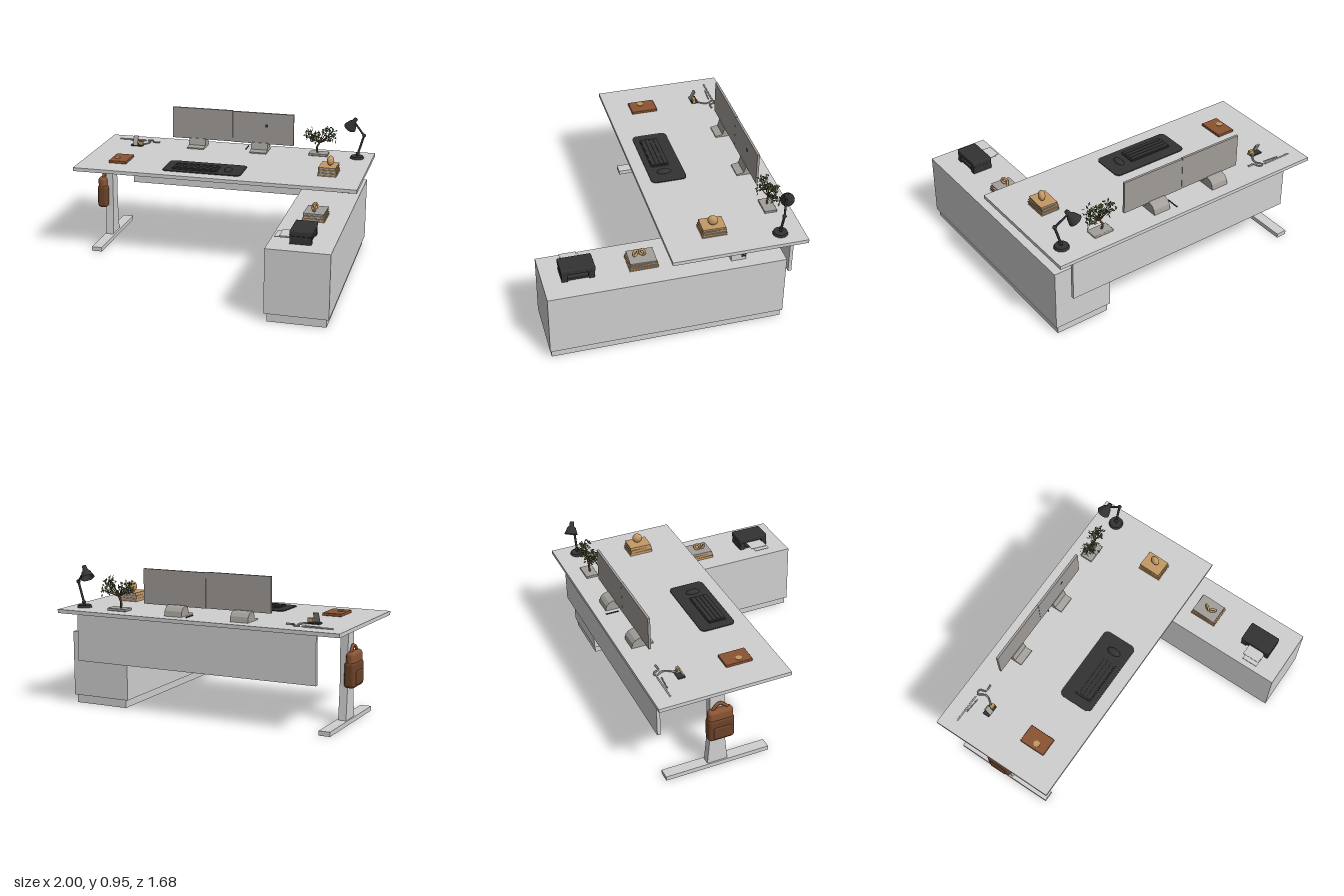
import * as THREE from 'three';
import { RoundedBoxGeometry } from 'three/addons/geometries/RoundedBoxGeometry.js';

const mat = (name, color, side = THREE.FrontSide) => {
  const m = new THREE.MeshStandardMaterial({ color, side });
  m.name = name;
  return m;
};
const V = (x, y, z) => new THREE.Vector3(x, y, z);

export function createModel() {
  const root = new THREE.Group();
  root.name = 'deskSetup';
  const white = mat('white', 0xd0d0d0);
  const screenGrey = mat('screenGrey', 0xa09c98);
  const black = mat('black', 0x333333, THREE.DoubleSide);
  const leather = mat('leather', 0x8a5433);
  const darkLeather = mat('darkLeather', 0x6b4228);
  const tan = mat('tan', 0xc59a66);
  const grey = mat('grey', 0xa3a09b);
  const leaf = mat('leaf', 0x56633f, THREE.DoubleSide);
  const bark = mat('bark', 0x5c4a38);

  const add = (name, geo, m, parent = root) => {
    const mesh = new THREE.Mesh(geo, m);
    mesh.name = name;
    parent.add(mesh);
    return mesh;
  };
  const group = (name) => {
    const g = new THREE.Group();
    g.name = name;
    root.add(g);
    return g;
  };
  // box from its lower and upper bounds
  const box = (name, m, x0, x1, y0, y1, z0, z1, parent = root, r = 0) => {
    const s = [x1 - x0, y1 - y0, z1 - z0];
    const geo = r ? new RoundedBoxGeometry(...s, 3, r) : new THREE.BoxGeometry(...s);
    const mesh = add(name, geo, m, parent);
    mesh.position.set((x0 + x1) / 2, (y0 + y1) / 2, (z0 + z1) / 2);
    return mesh;
  };
  // rod between two points
  const rod = (name, m, a, b, r0, r1, parent = root) => {
    const mesh = add(name, new THREE.CylinderGeometry(r1, r0, a.distanceTo(b), 10), m, parent);
    mesh.position.copy(a).lerp(b, 0.5);
    mesh.quaternion.setFromUnitVectors(V(0, 1, 0), b.clone().sub(a).normalize());
    return mesh;
  };
  const tube = (name, m, pts, r, parent = root) =>
    add(name, new THREE.TubeGeometry(new THREE.CatmullRomCurve3(pts.map((p) => V(...p))), 32, r, 6), m, parent);
  // profile of [z, y] points extruded along x
  const sideExtrude = (name, m, pts, x0, x1, parent = root) => {
    const shape = new THREE.Shape(pts.map(([z, y]) => new THREE.Vector2(-z, y)));
    const geo = new THREE.ExtrudeGeometry(shape, { depth: x1 - x0, bevelEnabled: false });
    geo.rotateY(Math.PI / 2);
    geo.translate(x0, 0, 0);
    return add(name, geo, m, parent);
  };

  // Desk, panel, legs and cabinet
  const top = 0.655;
  box('deskTop', white, -1, 1, 0.63, top, -0.845, 0.05);
  box('modestyPanel', white, -0.83, 0.88, 0.31, 0.62, -0.795, -0.772);
  for (const x of [-0.6, 0.6]) box('panelBracket', white, x - 0.03, x + 0.03, 0.6, 0.63, -0.772, -0.74);
  box('crossBeam', white, -0.9, 0.9, 0.612, 0.63, -0.46, -0.38);
  const leg = group('leftLeg');
  box('foot', white, -0.92, -0.845, 0, 0.03, -0.78, -0.06, leg);
  sideExtrude('post', white, [[-0.49, 0.03], [-0.35, 0.03], [-0.37, 0.24], [-0.37, 0.63], [-0.47, 0.63], [-0.47, 0.24]],
    -0.91, -0.857, leg);
  box('rightLeg', white, 0.84, 0.89, 0.49, 0.63, -0.47, -0.37);
  for (let i = 0; i < 7; i++) box('cableSlat', black, 0.89, 0.896, 0.515 + i * 0.015, 0.523 + i * 0.015, -0.465, -0.437);
  box('plinth', white, 0.57, 0.95, 0, 0.055, -0.71, 0.83);
  box('cabinet', white, 0.55, 0.965, 0.055, 0.49, -0.72, 0.84);

  // Shoulder bag hung on the leg
  const bag = group('bag');
  box('bagBody', darkLeather, -0.965, -0.89, 0.24, 0.41, -0.5, -0.32, bag, 0.025);
  box('bagFlap', leather, -0.958, -0.9, 0.3, 0.47, -0.495, -0.325, bag, 0.024);
  box('bagPocket', darkLeather, -0.972, -0.95, 0.26, 0.35, -0.47, -0.35, bag, 0.01);
  tube('bagStrap', leather, [[-0.925, 0.45, -0.47], [-0.925, 0.49, -0.44], [-0.92, 0.503, -0.41], [-0.925, 0.49, -0.38],
    [-0.925, 0.45, -0.35]], 0.011, bag);

  // Wide screen with two curved stands
  const screen = group('screen');
  box('screenLeft', screenGrey, -0.485, -0.03, 0.715, 0.947, -0.698, -0.682, screen);
  box('screenRight', screenGrey, -0.028, 0.425, 0.713, 0.943, -0.698, -0.682, screen);
  box('lens', black, 0.215, 0.235, 0.84, 0.86, -0.682, -0.68, screen);
  for (const x of [-0.295, 0.175]) {
    sideExtrude('stand', grey, [[-0.615, top], [-0.615, 0.664], [-0.665, 0.672], [-0.678, 0.72], [-0.71, 0.722],
      [-0.738, 0.712], [-0.758, 0.69], [-0.765, top]], x - 0.062, x + 0.062, screen);
  }
  rod('cable', black, V(0.07, 0.662, -0.69), V(0.07, 0.662, -0.78), 0.004, 0.004, screen);

  // Desk mat, keyboard and mouse
  const slab = (name, m, x0, x1, z0, z1, y, h, r) => {
    const s = new THREE.Shape();
    s.moveTo(x0 + r, -z0);
    for (const [cx, cz, a] of [[x1 - r, z0 + r, 90], [x1 - r, z1 - r, 0], [x0 + r, z1 - r, -90], [x0 + r, z0 + r, -180]]) {
      const t = THREE.MathUtils.degToRad(a);
      s.absarc(cx, -cz, r, t, t - Math.PI / 2, true);
    }
    const geo = new THREE.ExtrudeGeometry(s, { depth: h, bevelEnabled: false, curveSegments: 6 });
    geo.rotateX(-Math.PI / 2);
    add(name, geo, m).position.y = y;
  };
  slab('deskMat', black, -0.38, 0.18, -0.285, -0.04, top, 0.006, 0.035);
  slab('keyboard', black, -0.315, 0.005, -0.205, -0.08, 0.661, 0.008, 0.008);
  for (let r = 0; r < 4; r++) {
    box('keyRow', black, -0.305, -0.005, 0.669, 0.673, -0.197 + r * 0.029, -0.174 + r * 0.029);
  }
  const mouse = add('mouse', new THREE.SphereGeometry(1, 16, 8, 0, Math.PI * 2, 0, Math.PI / 2), black);
  mouse.scale.set(0.026, 0.02, 0.05);
  mouse.position.set(0.073, 0.661, -0.15);

  // Notebook with a small coaster
  box('notebook', leather, -0.795, -0.665, top, 0.674, -0.305, -0.12, root, 0.004);
  const coaster = add('coaster', new THREE.CylinderGeometry(0.022, 0.022, 0.005, 20), tan);
  coaster.position.set(-0.755, 0.676, -0.2);

  // Stacks of books
  const stack = (name, cx, cz, w, d, y, n, h, cover, topCover) => {
    const g = group(name);
    for (let i = 0; i < n; i++) {
      const b = new THREE.Group();
      b.name = 'book';
      const m = i === n - 1 ? topCover : cover;
      const k = 1 - i * 0.04;
      const [a, c] = [w * k / 2, d * k / 2];
      box('lowerCover', m, -a, a, 0, h * 0.22, -c, c, b);
      box('pages', grey, -a + 0.004, a - 0.004, h * 0.22, h * 0.78, -c + 0.004, c - 0.004, b);
      box('upperCover', m, -a, a, h * 0.78, h * 0.98, -c, c, b);
      box('spine', m, -a, -a + 0.004, h * 0.22, h * 0.78, -c, c, b);
      b.position.set(cx, y + i * h, cz);
      b.rotation.y = [0, 0.03, -0.03][i];
      g.add(b);
    }
    return g;
  };
  const deskBooks = stack('deskBooks', 0.755, -0.277, 0.13, 0.165, top, 3, 0.02, tan, tan);
  const disc = add('roundOrnament', new THREE.SphereGeometry(0.034, 20, 14), tan, deskBooks);
  disc.scale.x = 0.68;
  disc.rotation.y = -0.3;
  disc.position.set(0.765, 0.747, -0.277);
  const cabinetBooks = stack('cabinetBooks', 0.753, 0.187, 0.15, 0.19, 0.49, 3, 0.0175, tan, grey);
  for (const s of [-1, 1]) {
    const ring = add('ringOrnament', new THREE.TorusGeometry(0.019, 0.008, 8, 20), tan, cabinetBooks);
    ring.position.set(0.745, 0.567, 0.202 + s * 0.022);
    ring.rotation.y = Math.PI / 2 + s * 0.6;
  }

  // Printer with its paper tray
  const printer = group('printer');
  box('printerTop', black, 0.68, 0.822, 0.54, 0.577, 0.5, 0.722, printer, 0.008);
  for (const z of [0.505, 0.68]) box('printerSide', black, 0.682, 0.82, 0.49, 0.55, z, z + 0.038, printer);
  box('printerBase', black, 0.69, 0.81, 0.49, 0.505, 0.54, 0.68, printer);
  box('printerBack', black, 0.735, 0.765, 0.5, 0.545, 0.54, 0.68, printer);
  box('paper', white, 0.61, 0.74, 0.522, 0.526, 0.565, 0.685, printer);
  box('paperTray', white, 0.58, 0.68, 0.517, 0.521, 0.58, 0.69, printer);

  // Small tree in a flat pot
  const tree = group('tree');
  box('pot', grey, 0.54, 0.68, top, 0.673, -0.745, -0.66, tree, 0.005);
  tube('trunk', bark, [[0.6, 0.67, -0.7], [0.595, 0.71, -0.705], [0.615, 0.75, -0.7], [0.625, 0.79, -0.7]], 0.007, tree);
  let seed = 7;
  const rnd = () => (seed = (seed * 16807) % 2147483647) / 2147483647 - 0.5;
  const tufts = [[0.53, 0.795, -0.7], [0.54, 0.83, -0.69], [0.57, 0.8, -0.72], [0.605, 0.81, -0.68], [0.64, 0.83, -0.72],
    [0.68, 0.855, -0.7], [0.7, 0.83, -0.69], [0.67, 0.785, -0.7], [0.7, 0.78, -0.72], [0.575, 0.785, -0.66]];
  const leafShape = new THREE.Shape([[0, 0], [0.007, 0.011], [0, 0.026], [-0.007, 0.011]].map((p) => new THREE.Vector2(...p)));
  const leafGeo = new THREE.ShapeGeometry(leafShape);
  for (const p of tufts) {
    rod('branch', bark, V(0.612, 0.745, -0.7), V(...p), 0.004, 0.002, tree);
    for (let i = 0; i < 20; i++) {
      const l = add('leaf', leafGeo, leaf, tree);
      l.position.set(p[0] + rnd() * 0.045, p[1] + rnd() * 0.04, p[2] + rnd() * 0.045);
      l.rotation.set(rnd() * 6, rnd() * 6, rnd() * 6);
    }
  }

  // Jointed desk lamp
  const lamp = group('lamp');
  const base = add('lampBase', new THREE.CylinderGeometry(0.044, 0.05, 0.016, 24), black, lamp);
  base.position.set(0.89, 0.663, -0.69);
  const [foot, elbow, neck] = [V(0.89, 0.67, -0.69), V(0.935, 0.825, -0.69), V(0.868, 0.9, -0.72)];
  rod('lowerArm', black, foot, elbow, 0.008, 0.008, lamp);
  rod('upperArm', black, elbow, neck, 0.007, 0.007, lamp);
  for (const p of [elbow, foot.clone().lerp(elbow, 0.12)]) add('joint', new THREE.SphereGeometry(0.014, 12, 8), black, lamp).position.copy(p);
  const shade = add('lampShade', new THREE.LatheGeometry(
    [[0.001, 0.05], [0.014, 0.05], [0.017, 0.02], [0.03, 0.005], [0.046, -0.04]].map((p) => new THREE.Vector2(...p)), 24), black, lamp);
  shade.position.set(0.843, 0.895, -0.735);
  shade.quaternion.setFromUnitVectors(V(0, 1, 0), V(0.5, 0.8, 0.3).normalize());

  // Phone holder, cable and pens
  const holder = group('phoneHolder');
  box('holderFoot', black, -0.78, -0.69, top, 0.666, -0.625, -0.575, holder, 0.005);
  box('phone', grey, -0.765, -0.73, 0.66, 0.73, -0.6, -0.59, holder).rotation.x = -0.45;
  box('plug', tan, -0.725, -0.69, 0.66, 0.69, -0.605, -0.585, holder);
  tube('chargeCable', grey, [[-0.73, 0.662, -0.6], [-0.69, 0.662, -0.63], [-0.665, 0.662, -0.68], [-0.69, 0.662, -0.735],
    [-0.66, 0.662, -0.74], [-0.64, 0.662, -0.7], [-0.59, 0.662, -0.7]], 0.006, holder);
  rod('pen', white, V(-0.915, 0.66, -0.735), V(-0.71, 0.66, -0.735), 0.005, 0.005, holder);
  rod('shortPen', grey, V(-0.83, 0.66, -0.72), V(-0.72, 0.66, -0.712), 0.004, 0.004, holder);

  return root;
}
